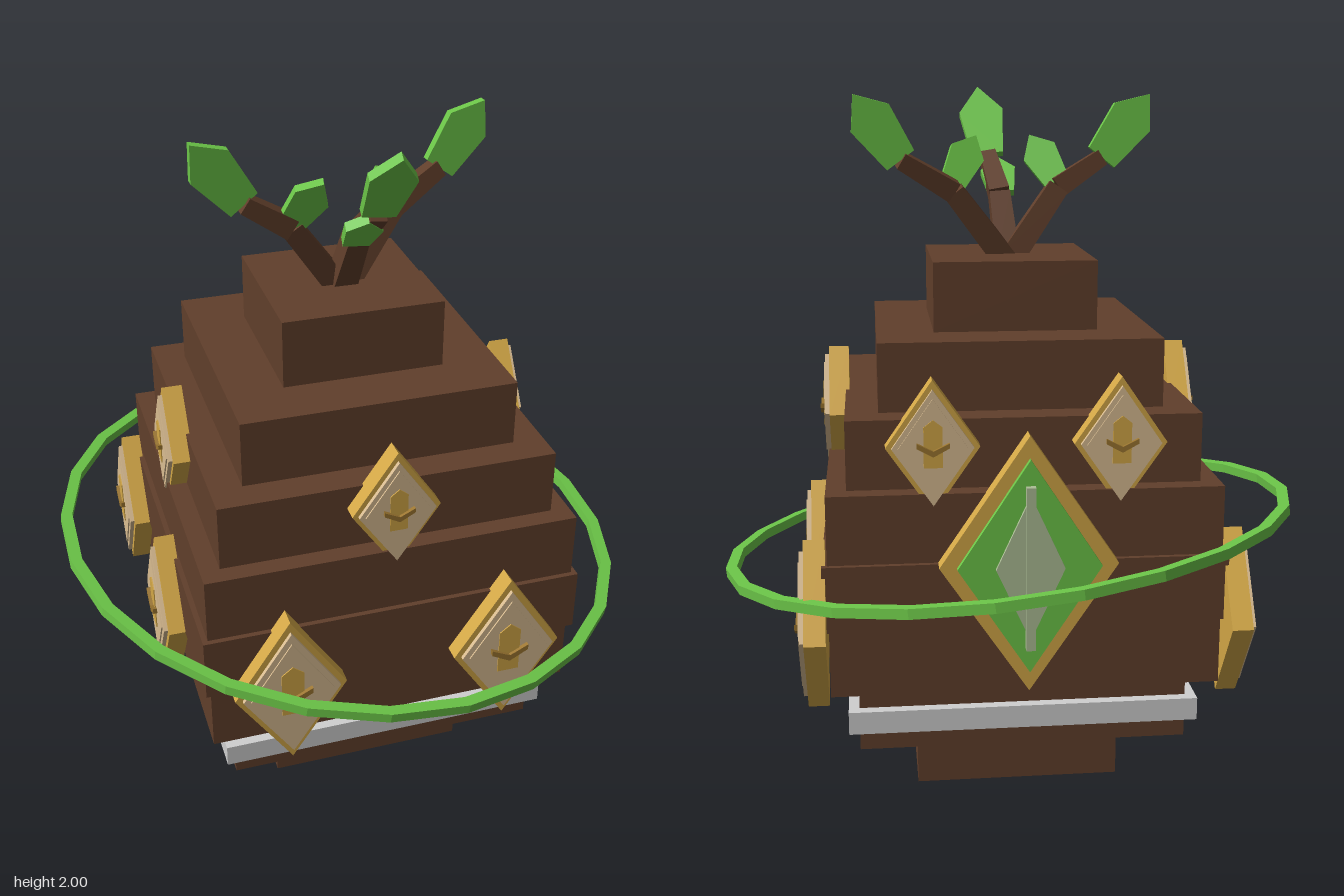
import * as THREE from 'three';

const V = (x, y, z) => new THREE.Vector3(x, y, z);

function mat(name, color) {
  const m = new THREE.MeshStandardMaterial({ color });
  m.name = name;
  return m;
}

export function createModel() {
  const brown = mat('bark brown', 0x613f2b);
  const gold = mat('gold', 0xd4a847);
  const darkGold = mat('dark gold', 0x9c7630);
  const cream = mat('cream', 0xdabd92);
  const green = mat('leaf green', 0x6cc648);
  const pale = mat('pale green', 0xadbe96);
  const silver = mat('silver', 0xcfcfcf);

  const model = new THREE.Group();
  model.name = 'steppedPod';

  function add(parent, name, geometry, material) {
    const mesh = new THREE.Mesh(geometry, material);
    mesh.name = name;
    parent.add(mesh);
    return mesh;
  }

  // Flat outline pushed out along +z from z0 to z1
  function plate(parent, name, points, z0, z1, material) {
    const shape = new THREE.Shape(points.map(([x, y]) => new THREE.Vector2(x, y)));
    const g = new THREE.ExtrudeGeometry(shape, { depth: z1 - z0, bevelEnabled: false });
    return add(parent, name, g.translate(0, 0, z0), material);
  }
  const diamond = (w, h) => [[0, -h], [w, 0], [0, h], [-w, 0]];

  // Stepped body and bands: bottom, top, half width
  const tiers = [
    ['foot', 0, 0.14, 0.295, brown],
    ['goldBand', 0.14, 0.195, 0.33, gold],
    ['lowerTier', 0.195, 0.39, 0.46, brown],
    ['silverBand', 0.255, 0.32, 0.49, silver],
    ['bellyTier', 0.39, 0.58, 0.535, brown],
    ['widestTier', 0.58, 0.765, 0.55, brown],
    ['shoulderTier', 0.765, 0.955, 0.535, brown],
    ['upperTier', 0.955, 1.145, 0.48, brown],
    ['neckTier', 1.145, 1.335, 0.39, brown],
    ['crownTier', 1.335, 1.53, 0.23, brown],
  ];
  for (const [name, y0, y1, half, material] of tiers) {
    add(model, name, new THREE.BoxGeometry(half * 2, y1 - y0, half * 2), material)
      .position.y = (y0 + y1) / 2;
  }

  // Diamond ornament facing +z: gold backing, cream plates, arrow block and chevron
  function ornament(x, y, z, turn, w, h) {
    const g = new THREE.Group();
    g.name = 'diamondOrnament';
    const s = w / 0.16;
    plate(g, 'diamondBacking', diamond(w, h), -0.01, 0.048, gold);
    plate(g, 'diamondPlate', diamond(w * 0.87, h * 0.87), 0.048, 0.06, cream);
    plate(g, 'diamondInset', diamond(w * 0.74, h * 0.74), 0.06, 0.064, cream);
    plate(g, 'arrowBlock', [[-0.032, -0.065], [0.032, -0.065], [0.032, 0.075], [0, 0.1], [-0.032, 0.075]]
      .map(([a, b]) => [a * s, b * s]), 0.064, 0.067, gold);
    plate(g, 'chevron', [[0, -0.025], [0.055, 0.005], [0.055, 0.022], [0, -0.005], [-0.055, 0.022], [-0.055, 0.005]]
      .map(([a, b]) => [a * s, b * s]), 0.064, 0.076, darkGold);
    g.position.set(x, y, z);
    g.rotation.y = turn;
    model.add(g);
  }
  const Q = Math.PI / 2;
  ornament(0, 1.08, 0.48, 0, 0.125, 0.18);
  for (const side of [-1, 1]) {
    ornament(side * 0.32, 0.585, 0.55, 0, 0.16, 0.24);
    ornament(side * 0.25, 1.08, -0.48, 2 * Q, 0.125, 0.18);
    ornament(side * 0.48, 1.08, 0, side * Q, 0.125, 0.18);
    for (const z of [0.1, -0.49]) ornament(side * 0.55, 0.585, z, side * Q, 0.16, 0.24);
  }

  // Large green emblem on the back
  const emblem = new THREE.Group();
  emblem.name = 'backEmblem';
  plate(emblem, 'emblemBacking', diamond(0.24, 0.355), -0.02, 0.037, gold);
  plate(emblem, 'emblemGreen', diamond(0.193, 0.295), 0.037, 0.055, green);
  plate(emblem, 'emblemCentre', diamond(0.092, 0.2), 0.055, 0.066, pale);
  add(emblem, 'emblemSpine', new THREE.BoxGeometry(0.025, 0.45, 0.03), pale).position.z = 0.062;
  emblem.position.set(0, 0.765, -0.55);
  emblem.rotation.y = Math.PI;
  model.add(emblem);

  // Tilted ring: square section, 24 flat sides
  const section = [[0.824, -0.014], [0.857, -0.014], [0.857, 0.014], [0.824, 0.014], [0.824, -0.014]]
    .map(([r, y]) => new THREE.Vector2(r, y));
  const ringGeometry = new THREE.LatheGeometry(section, 24, Math.PI / 24).toNonIndexed();
  ringGeometry.computeVertexNormals();
  const ring = add(model, 'orbitRing', ringGeometry, green);
  ring.position.y = 0.7;
  ring.quaternion.setFromUnitVectors(V(0, 1, 0), V(0.118, 1, 0.075).normalize());

  // Square tapering branch between two points
  function branch(a, b, r0, r1) {
    const d = b.clone().sub(a);
    const g = new THREE.CylinderGeometry(r1, r0, d.length(), 4).rotateY(Math.PI / 4).toNonIndexed();
    g.computeVertexNormals();
    const mesh = add(model, 'branch', g, brown);
    mesh.position.copy(a).addScaledVector(d, 0.5);
    mesh.quaternion.setFromUnitVectors(V(0, 1, 0), d.normalize());
  }

  // Pointed leaf from base to tip, with its flat face towards +z
  function leaf(a, b, w) {
    const up = b.clone().sub(a);
    const l = up.length();
    up.normalize();
    const right = up.clone().cross(V(0, 0, 1)).normalize();
    const mesh = plate(model, 'leaf',
      [[-w * 0.72, 0], [w * 0.72, 0], [w, l * 0.64], [0, l], [-w, l * 0.64]], -0.014, 0.014, green);
    mesh.quaternion.setFromRotationMatrix(
      new THREE.Matrix4().makeBasis(right, up, right.clone().cross(up)));
    mesh.position.copy(a);
  }

  // Each sprig: branch bend, branch end, big leaf tip, small leaf base and tip
  const sprigs = [
    [V(-0.15, 1.715, 0.03), V(-0.28, 1.8, 0.04), V(-0.42, 1.98, 0.05), V(-0.15, 1.73, 0.04), V(-0.075, 1.86, 0.1)],
    [V(0.16, 1.71, -0.04), V(0.31, 1.8, -0.07), V(0.44, 1.98, -0.08), V(0.16, 1.73, -0.01), V(0.09, 1.86, 0.05)],
    [V(0.015, 1.69, 0.1), V(0.04, 1.8, 0.21), V(0.06, 1.995, 0.335), V(0.005, 1.69, 0.125), V(0.015, 1.79, 0.215)],
  ];
  for (const [bend, end, tip, smallBase, smallTip] of sprigs) {
    branch(V(0, 1.5, 0), bend, 0.05, 0.043);
    branch(bend, end, 0.043, 0.034);
    leaf(end, tip, 0.066);
    leaf(smallBase, smallTip, 0.052);
  }

  return model;
}
